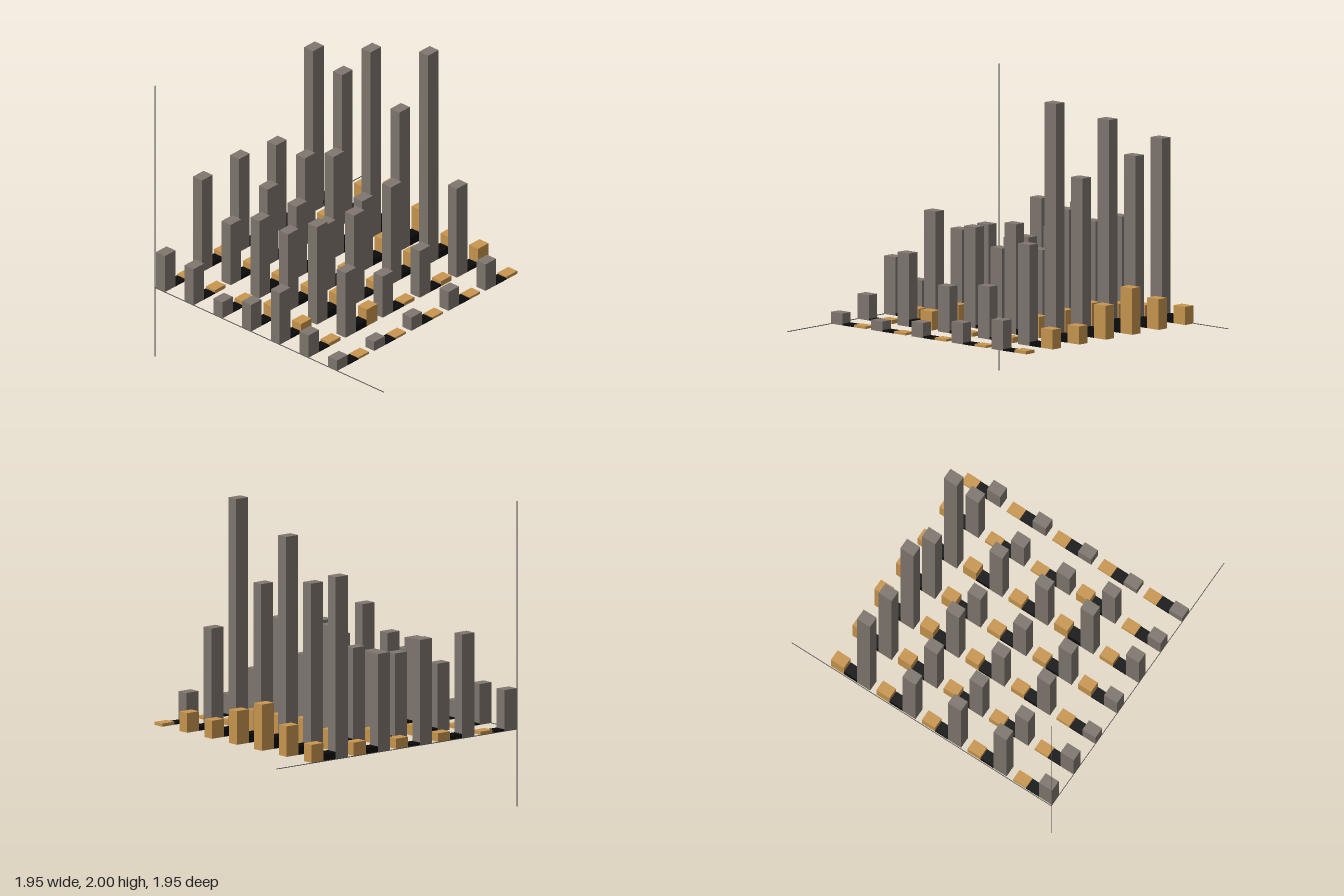
import * as THREE from 'three';

const BASE = 0.495;   // height of the chart's floor plane
const BAR_W = 0.076;
const BAR_D = 0.098;

// Top heights of the bars: one line per row from front to back, seven columns from -x to +x
const SERIES = [
  { name: 'greyBar', color: 0x7f776f, tops: [
    [0.755, 0.755, 0.61, 0.685, 0.865, 0.655, 0.57],
    [1.155, 0.93, 1.05, 1.05, 1.195, 0.96, 0.56],
    [1.165, 1.04, 1.01, 0.97, 1.135, 0.79, 0.59],
    [1.12, 1.12, 1.225, 1.0, 1.195, 0.83, 0.63],
    [1.655, 1.575, 1.835, 1.495, 2.0, 1.135, 0.685],
  ] },
  { name: 'blackBar', color: 0x0b0b0b, tops: [
    [0.505, 0.505, 0.505, 0.51, 0.51, 0.505, 0.505],
    [0.52, 0.52, 0.53, 0.53, 0.55, 0.54, 0.505],
    [0.51, 0.51, 0.52, 0.52, 0.515, 0.51, 0.505],
    [0.53, 0.54, 0.56, 0.54, 0.53, 0.51, 0.505],
    [0.54, 0.55, 0.57, 0.55, 0.54, 0.52, 0.505],
  ] },
  { name: 'orangeBar', color: 0xc8964f, tops: [
    [0.515, 0.52, 0.53, 0.59, 0.56, 0.52, 0.51],
    [0.55, 0.56, 0.57, 0.58, 0.625, 0.615, 0.51],
    [0.56, 0.58, 0.59, 0.57, 0.57, 0.52, 0.51],
    [0.58, 0.62, 0.655, 0.64, 0.63, 0.53, 0.51],
    [0.61, 0.69, 0.79, 0.71, 0.61, 0.62, 0.515],
  ] },
];

function box(name, size, position, material) {
  const mesh = new THREE.Mesh(new THREE.BoxGeometry(...size), material);
  mesh.name = name;
  mesh.position.set(...position);
  return mesh;
}

export function createModel() {
  const model = new THREE.Group();
  model.name = 'barChart';

  // Bars: three series side by side in depth, on a grid of 7 columns by 5 rows
  SERIES.forEach(({ name, color, tops }, s) => {
    const material = new THREE.MeshStandardMaterial({ color });
    const group = new THREE.Group();
    group.name = name + 's';
    tops.forEach((row, j) => row.forEach((top, i) => {
      const h = top - BASE;
      const x = -0.915 + i * 0.2441;
      const z = 0.905 - j * 0.3425 - s * BAR_D;
      group.add(box(name, [BAR_W, h, BAR_D], [x, BASE + h / 2, z], material));
    }));
    model.add(group);
  });

  // Thin axis rods meeting at the front corner
  const rod = new THREE.MeshStandardMaterial({ color: 0x555555 });
  const t = 0.004;
  model.add(
    box('columnAxis', [1.945, t, t], [0.0125, BASE, 0.953], rod),
    box('rowAxis', [t, t, 1.953], [-0.96, BASE, -0.0235], rod),
    box('heightAxis', [t, 1.95, t], [-0.96, 0.975, 0.953], rod),
  );
  return model;
}
